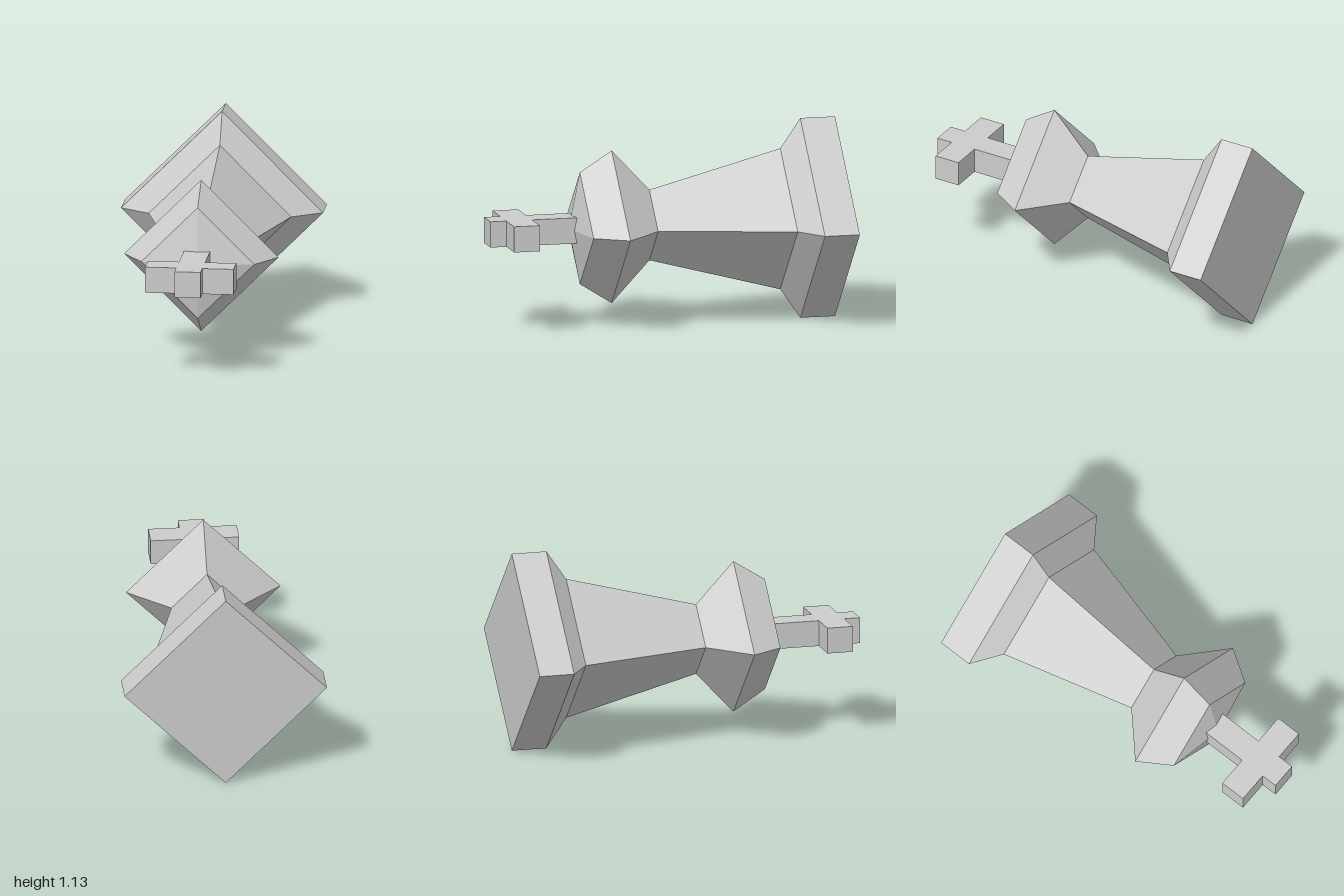
import * as THREE from 'three';

const AXIS_Y = 0.567;

export function createModel() {
  const group = new THREE.Group();
  const stone = new THREE.MeshStandardMaterial({ color: 0xcccccc });
  stone.name = 'pale grey';

  function add(name, geometry) {
    const mesh = new THREE.Mesh(geometry, stone);
    mesh.name = name;
    group.add(mesh);
  }

  // Four-sided turned section lying along z, from [radius, z] pairs, back to front
  function turned(name, profile) {
    const points = profile.map(([r, z]) => new THREE.Vector2(r, z));
    const geometry = new THREE.LatheGeometry(points, 4)
      .rotateX(Math.PI / 2)
      .translate(0, AXIS_Y, 0)
      .toNonIndexed();
    geometry.computeVertexNormals(); // faceted
    add(name, geometry);
  }

  turned('base', [[0, -1], [0.567, -1], [0.567, -0.8], [0.4, -0.685]]);
  turned('body', [[0.4, -0.685], [0.2, 0.068]]);
  turned('head', [[0.2, 0.068], [0.433, 0.285], [0.317, 0.468], [0, 0.532]]);

  // Cross finial: outline in x and z, extruded through its thickness
  const w = 0.073, arm = 0.248;
  const half = [[w, 0.5], [w, 0.76], [arm, 0.76], [arm, 0.908], [w, 0.908], [w, 1]];
  const outline = [...half, ...half.map(([x, z]) => [-x, z]).reverse()];
  const shape = new THREE.Shape(outline.map(([x, z]) => new THREE.Vector2(x, z)));
  const cross = new THREE.ExtrudeGeometry(shape, { depth: 2 * w, bevelEnabled: false })
    .rotateX(Math.PI / 2)
    .translate(0, AXIS_Y + w + 0.002, 0);
  add('cross', cross);

  return group;
}
